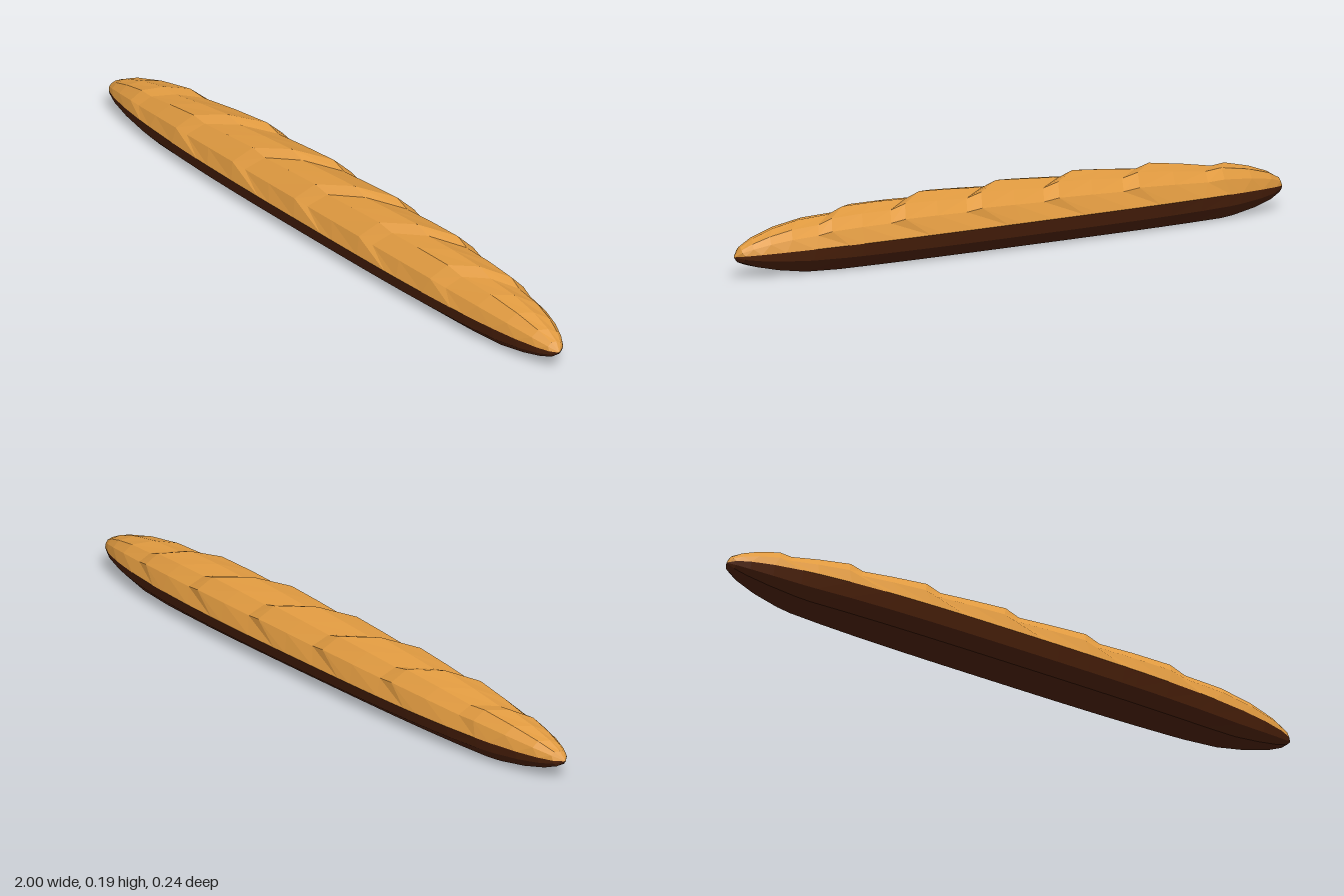
import * as THREE from 'three';

// Cross-section at mid length as [z, y, slash strength], front seam over the top to the back seam
const CRUST = [
  [0.123, 0.075, 0], [0.107, 0.126, 0.8], [0.062, 0.172, 1], [0, 0.187, 1],
  [-0.068, 0.173, 1], [-0.106, 0.134, 0.8], [-0.121, 0.078, 0],
];
// Back seam, under the loaf, to the front seam
const BASE = [
  [-0.121, 0.078, 0], [-0.106, 0.038, 0], [-0.056, 0, 0],
  [0.07, 0, 0], [0.108, 0.03, 0], [0.123, 0.075, 0],
];
const TIP_Y = 0.06, TIP_Z = 0.022;
const SLANT = 1.6;

// Stations along the loaf as [x, swell]: each slash is a peak followed by a steep drop
function makeStations() {
  const list = [[-1, 1], [-0.98, 1], [-0.94, 1], [-0.87, 1]];
  for (let k = 0; k < 6; k++) {
    const peak = -0.78 + k * 0.28;
    list.push([peak, 1], [peak + 0.05, 0.88]);
    if (k < 5) list.push([peak + 0.16, 0.94]);
  }
  list.push([0.78, 0.97], [0.87, 1], [0.94, 1], [0.98, 1], [1, 1]);
  return list;
}

// Taper towards both tips
const taper = (x) => Math.pow(Math.max(0, 1 - Math.abs(x) ** 3), 0.55);

function placePoint([z, y, slash], [station, swell]) {
  const s0 = taper(station);
  const x = station - SLANT * z * slash * s0 * s0;
  const s = taper(x);
  const bump = 1 + (swell - 1) * slash;
  // The underside stays flat for longer than the top
  const sy = y < 0.06 ? Math.min(1, s * 1.35) : s * bump;
  const centre = TIP_Z * (1 - s);
  return [x, TIP_Y + (y - TIP_Y) * sy, centre + z * s * (1 + (bump - 1) * 0.6)];
}

// Skin of quads between neighbouring stations
function loft(section, stations) {
  const n = section.length;
  const positions = [];
  const index = [];
  stations.forEach((st) => section.forEach((p) => positions.push(...placePoint(p, st))));
  for (let i = 0; i < stations.length - 1; i++) {
    for (let j = 0; j < n - 1; j++) {
      const a = i * n + j, b = a + n;
      index.push(a, b, b + 1, a, b + 1, a + 1);
    }
  }
  const geometry = new THREE.BufferGeometry();
  geometry.setAttribute('position', new THREE.Float32BufferAttribute(positions, 3));
  geometry.setIndex(index);
  const flat = geometry.toNonIndexed();
  flat.computeVertexNormals();
  return flat;
}

function addPart(group, name, section, stations, material) {
  const mesh = new THREE.Mesh(loft(section, stations), material);
  mesh.name = name;
  group.add(mesh);
}

export function createModel() {
  const golden = new THREE.MeshStandardMaterial({ color: 0xe09a40, flatShading: true });
  golden.name = 'goldenCrust';
  const dark = new THREE.MeshStandardMaterial({ color: 0x52240c, flatShading: true });
  dark.name = 'darkBakedBase';

  const loaf = new THREE.Group();
  loaf.name = 'breadLoaf';
  const stations = makeStations();
  addPart(loaf, 'slashedCrust', CRUST, stations, golden);
  addPart(loaf, 'bakedBase', BASE, stations, dark);
  return loaf;
}
